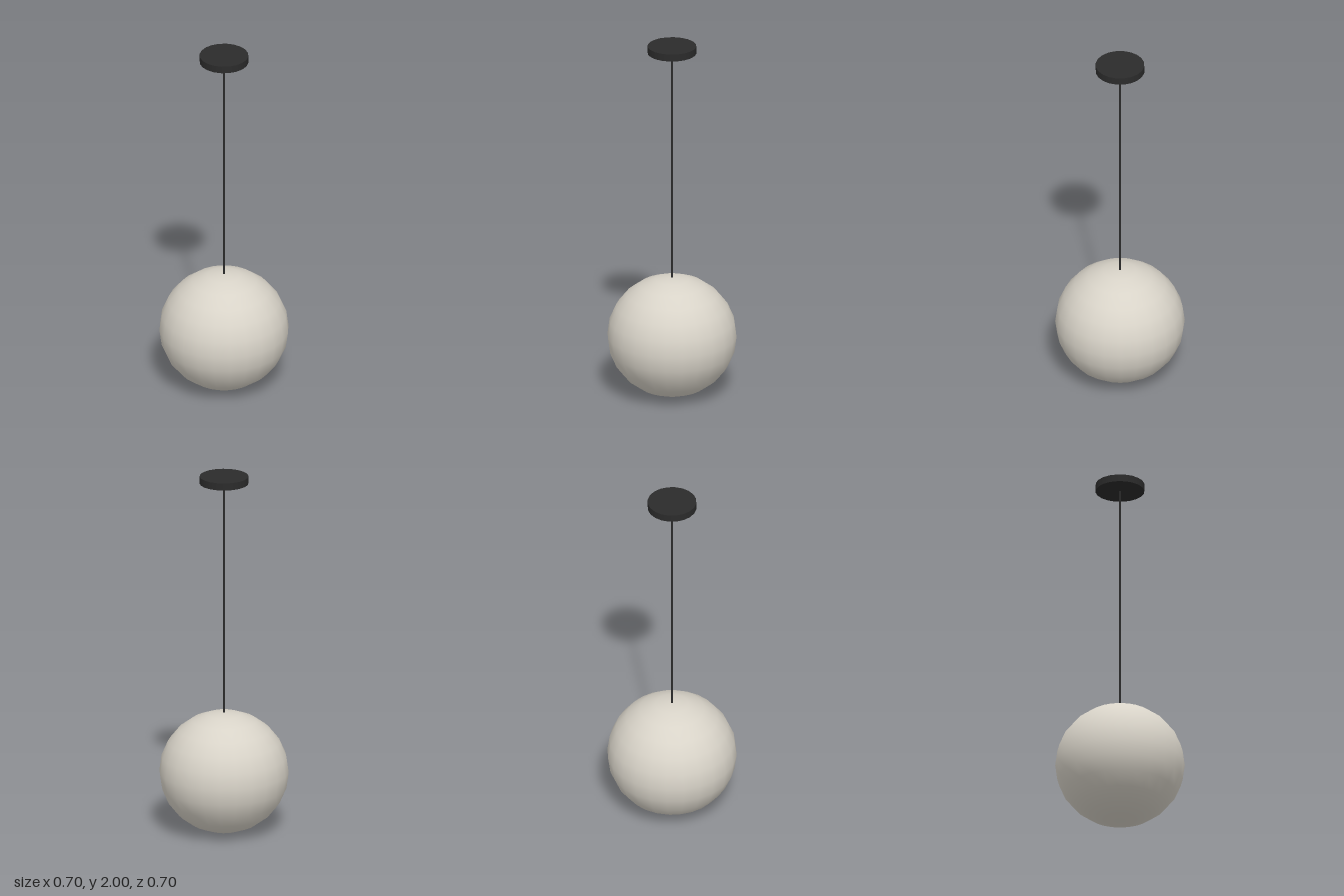
import * as THREE from 'three';

export function createModel() {
  const group = new THREE.Group();
  const darkMetal = new THREE.MeshStandardMaterial({ color: 0x2b2b2b });
  darkMetal.name = 'dark metal';
  const paleGlass = new THREE.MeshStandardMaterial({ color: 0xd8d3c8 });
  paleGlass.name = 'pale glass';

  const add = (name, geometry, material, y) => {
    const mesh = new THREE.Mesh(geometry, material);
    mesh.name = name;
    mesh.position.y = y;
    group.add(mesh);
    return mesh;
  };

  // Ceiling canopy
  add('canopy', new THREE.CylinderGeometry(0.132, 0.132, 0.04, 20), darkMetal, 1.98);

  // Thin cord from the canopy into the top of the globe
  const cordTop = 1.965, cordBottom = 0.65;
  add('cord', new THREE.CylinderGeometry(0.0065, 0.0065, cordTop - cordBottom, 8),
    darkMetal, (cordTop + cordBottom) / 2);

  // Slightly flattened globe shade
  const radius = 0.349, halfHeight = 0.3335;
  const globe = new THREE.SphereGeometry(radius, 24, 12);
  globe.scale(1, halfHeight / radius, 1);
  add('globe', globe, paleGlass, halfHeight);

  return group;
}
